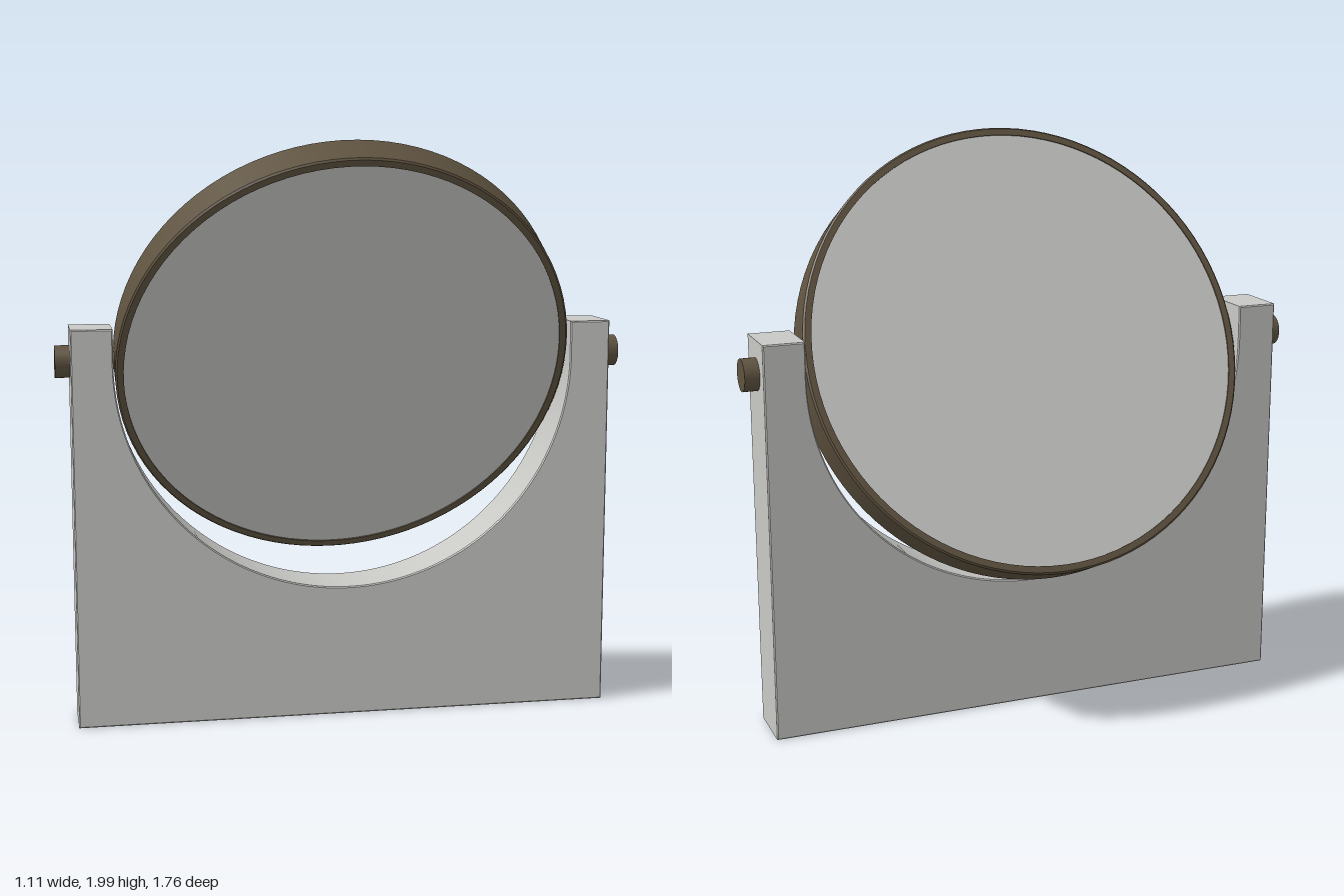
import * as THREE from 'three';
import { toCreasedNormals } from 'three/addons/utils/BufferGeometryUtils.js';

const PIVOT_Y = 1.255;      // height of the tilt axis
const HALF_W = 0.934;       // half width of the stand
const HALF_D = 0.102;       // half depth of the stand
const TOP = 1.37;           // top of the posts
const CUT_R = 0.793;        // radius of the round cutout
const DISC_R = 0.785, DISC_H = 0.072, RIM = 0.028;

function named(name, geometry, material) {
  const mesh = new THREE.Mesh(geometry, material);
  mesh.name = name;
  return mesh;
}

export function createModel() {
  const grey = new THREE.MeshStandardMaterial({ color: 0xc8c8c5 });
  grey.name = 'pale grey';
  const bronze = new THREE.MeshStandardMaterial({ color: 0x5f5340 });
  bronze.name = 'dark bronze';

  const model = new THREE.Group();
  model.name = 'tiltingMirror';
  const body = new THREE.Group();
  body.name = 'turnedBody';
  body.rotation.y = Math.PI / 3;
  model.add(body);

  // Slab stand with a U-shaped cutout
  const u = new THREE.Shape();
  u.moveTo(-HALF_W, 0);
  u.lineTo(HALF_W, 0);
  u.lineTo(HALF_W, TOP);
  u.lineTo(CUT_R, TOP);
  u.lineTo(CUT_R, 1.25);
  u.absarc(0, 1.25, CUT_R, 0, -Math.PI, true);
  u.lineTo(-CUT_R, TOP);
  u.lineTo(-HALF_W, TOP);
  u.closePath();
  const bevel = 0.004;
  const slab = new THREE.ExtrudeGeometry(u, {
    depth: 2 * (HALF_D - bevel), curveSegments: 64, bevelEnabled: true,
    bevelThickness: bevel, bevelSize: bevel, bevelOffset: -bevel, bevelSegments: 1,
  });
  slab.translate(0, 0, -(HALF_D - bevel));
  body.add(named('stand', toCreasedNormals(slab, 0.4), grey));

  // Knobs outside the posts, with pins through to the disc
  for (const side of [-1, 1]) {
    const knob = named('knob', new THREE.CylinderGeometry(0.055, 0.055, 0.055, 32), bronze);
    knob.rotation.z = Math.PI / 2;
    knob.position.set(side * 0.957, PIVOT_Y, 0);
    const pin = named('pin', new THREE.CylinderGeometry(0.03, 0.03, 0.18, 24), bronze);
    pin.rotation.z = Math.PI / 2;
    pin.position.set(side * 0.86, PIVOT_Y, 0);
    body.add(knob, pin);
  }

  // Tilted disc: its front face leans downward
  const disc = new THREE.Group();
  disc.name = 'mirrorDisc';
  disc.position.y = PIVOT_Y;
  disc.rotation.x = THREE.MathUtils.degToRad(25.5);
  body.add(disc);

  // Rim with small chamfered edges
  const c = 0.006, inner = DISC_R - RIM;
  const profile = [
    [inner, -DISC_H], [DISC_R - c, -DISC_H], [DISC_R, -DISC_H + c],
    [DISC_R, DISC_H - c], [DISC_R - c, DISC_H], [inner, DISC_H], [inner, -DISC_H],
  ].map(([x, y]) => new THREE.Vector2(x, y));
  const rimGeo = toCreasedNormals(new THREE.LatheGeometry(profile, 96), 0.4);
  const rim = named('rim', rimGeo, bronze);
  rim.rotation.x = Math.PI / 2;

  // Panel with a face on both sides, slightly recessed in the rim
  const panel = named('mirrorPanel',
    new THREE.CylinderGeometry(inner + 0.004, inner + 0.004, 2 * (DISC_H - 0.005), 96), grey);
  panel.rotation.x = Math.PI / 2;
  disc.add(rim, panel);

  return model;
}
